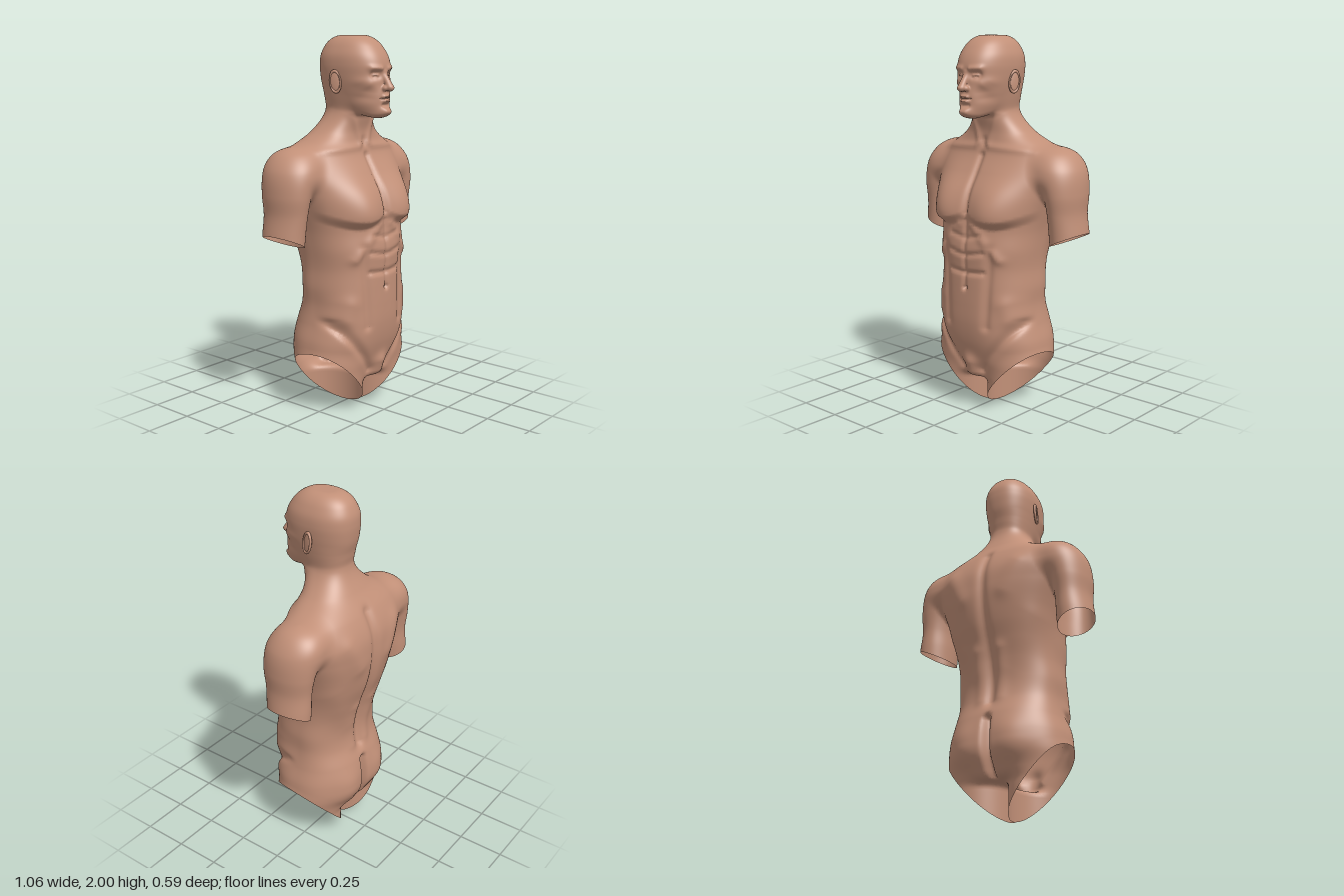
import * as THREE from 'three';

const gauss = (d2, s) => Math.exp(-d2 / (s * s));
const step = THREE.MathUtils.smoothstep;

// Smooth union and smooth intersection of two distances
function join(a, b, k) {
  const h = Math.max(k - Math.abs(a - b), 0) / k;
  return Math.min(a, b) - h * h * k / 4;
}
const trim = (a, b, k) => -join(-a, -b, k);

// Smooth interpolation between evenly spaced cross-section rows
function profile(y0, dy, rows) {
  const last = rows.length - 1;
  return y => {
    const t = Math.min(Math.max((y - y0) / dy, 0), last - 1e-6);
    const i = Math.floor(t), u = t - i;
    const a = rows[Math.max(i - 1, 0)], b = rows[i], c = rows[i + 1], d = rows[Math.min(i + 2, last)];
    return b.map((v, j) => v + 0.5 * u * (c[j] - a[j] + u * (2 * a[j] - 5 * v + 4 * c[j] - d[j]
      + u * (3 * (v - c[j]) + d[j] - a[j]))));
  };
}

// Rounded section: half width, front z, back z, centre z
function section([w, zf, zb, c], x, z, n) {
  const d = z > c ? zf - c : c - zb;
  const r = Math.pow(Math.pow(x / w, n) + Math.pow(Math.abs(z - c) / d, n), 1 / n);
  return (r - 1) * Math.min(w * 1.4, (zf - zb) / 2);
}

// Sculpting strokes: x0, y0, x1, y1, width, height
function strokes(list, x, y) {
  let sum = 0;
  for (const [x0, y0, x1, y1, s, amp] of list) {
    const dx = x1 - x0, dy = y1 - y0;
    const t = Math.min(Math.max(((x - x0) * dx + (y - y0) * dy) / (dx * dx + dy * dy + 1e-9), 0), 1);
    const d2 = (x - x0 - t * dx) ** 2 + (y - y0 - t * dy) ** 2;
    if (d2 < 9 * s * s) sum += amp * gauss(d2, s);
  }
  return sum;
}

const torsoRows = profile(0.1, 0.1, [
  [0.30, 0.18, -0.16, 0], [0.31, 0.19, -0.19, 0], [0.33, 0.22, -0.235, 0], [0.325, 0.248, -0.24, 0],
  [0.30, 0.262, -0.228, 0], [0.285, 0.264, -0.195, 0], [0.288, 0.262, -0.187, 0], [0.283, 0.26, -0.203, 0],
  [0.29, 0.264, -0.235, 0], [0.302, 0.25, -0.268, -0.03], [0.328, 0.245, -0.288, -0.06],
  [0.36, 0.22, -0.295, -0.08], [0.39, 0.168, -0.285, -0.09], [0.36, 0.118, -0.242, -0.08],
  [0.20, 0.098, -0.172, -0.04], [0.118, 0.115, -0.122, 0], [0.112, 0.11, -0.115, 0], [0.11, 0.11, -0.115, 0]]);

// Arm rows: centre x, half width, centre z, half depth
const armRows = profile(0.8, 0.1, [
  [0.45, 0.095, -0.066, 0.122], [0.446, 0.095, -0.066, 0.122], [0.437, 0.092, -0.065, 0.125],
  [0.428, 0.088, -0.06, 0.13], [0.42, 0.10, -0.06, 0.145], [0.392, 0.118, -0.065, 0.153],
  [0.372, 0.10, -0.075, 0.13], [0.36, 0.08, -0.08, 0.10]]);

const headRows = profile(1.55, 0.05, [
  [0.06, 0.235, -0.09, 0.03], [0.085, 0.25, -0.10, 0.03], [0.108, 0.25, -0.11, 0.03],
  [0.122, 0.25, -0.125, 0.03], [0.133, 0.243, -0.142, 0.03], [0.14, 0.243, -0.15, 0.03],
  [0.143, 0.24, -0.153, 0.03], [0.137, 0.222, -0.148, 0.03], [0.115, 0.187, -0.125, 0.03],
  [0.085, 0.14, -0.09, 0.03], [0.05, 0.08, -0.05, 0.02]]);

const frontStrokes = [
  [0, 1.1, 0, 1.38, 0.02, -0.014],          // breastbone
  [0, 0.72, 0, 1.05, 0.014, -0.008],        // midline
  [0, 0.775, 0.11, 0.785, 0.015, -0.009],   // abdominal creases
  [0, 0.87, 0.11, 0.89, 0.015, -0.008], [0, 0.96, 0.09, 0.98, 0.015, -0.006],
  [0.15, 0.92, 0.13, 0.5, 0.025, -0.010],   // edge of abdominals
  [0.05, 1.03, 0.2, 0.86, 0.025, 0.008],    // rib arch
  [0.28, 0.52, 0.07, 0.24, 0.025, -0.016],  // groin line
  [0.23, 0.62, 0.25, 0.55, 0.05, 0.010],    // oblique
  [0, 0.695, 0, 0.695, 0.014, -0.018],      // navel
  [0, 0.22, 0, 0.27, 0.045, 0.026],         // pubic mound
  [0.05, 1.43, 0.3, 1.42, 0.02, 0.007],     // collarbone
  [0.03, 1.45, 0.09, 1.6, 0.02, 0.008], [0, 1.45, 0, 1.46, 0.02, -0.008]];
const backStrokes = [
  [0, 0.58, 0, 1.4, 0.03, -0.022],          // spine
  [0, 0.2, 0, 0.48, 0.02, -0.045],          // cleft
  [0.13, 0.35, 0.13, 0.38, 0.09, 0.020],    // buttock
  [0.13, 1.15, 0.2, 1.3, 0.05, 0.012],      // shoulder blade
  [0.06, 0.6, 0.07, 0.85, 0.035, 0.010], [0.25, 1.0, 0.1, 0.75, 0.06, 0.007]];
const faceStrokes = [
  [0.03, 1.832, 0.08, 1.835, 0.014, 0.008], // brow
  [0.045, 1.8, 0.062, 1.8, 0.02, -0.018],   // eye socket
  [0.043, 1.799, 0.062, 1.799, 0.009, 0.011], // eyelid
  [0.05, 1.793, 0.06, 1.793, 0.004, -0.004],
  [0, 1.693, 0.018, 1.691, 0.009, 0.008], [0, 1.668, 0.015, 1.669, 0.009, 0.009], // lips
  [0, 1.681, 0.035, 1.68, 0.005, -0.007],   // mouth line
  [0, 1.646, 0.02, 1.646, 0.011, -0.007],
  [0, 1.615, 0.015, 1.615, 0.022, 0.012],   // chin
  [0.09, 1.755, 0.11, 1.765, 0.022, 0.006], // cheekbone
  [0.085, 1.69, 0.08, 1.71, 0.028, -0.008]];

function torso(x, y, z) {
  let d = section(torsoRows(y), x, z, 2.4);
  const edge = 1.04 + 0.05 * ((x - 0.16) / 0.16) ** 2;
  const chest = 0.045 * gauss((x - 0.16) ** 2, 0.13) * step(y, edge - 0.03, edge + 0.025) * gauss((y - 1.1) ** 2, 0.17);
  if (z > 0) d -= step(z, 0, 0.12) * (chest + strokes(frontStrokes, x, y));
  else d -= step(-z, 0, 0.12) * strokes(backStrokes, x, y);
  return trim(trim(d, 0.185 - y, 0.04), y - 1.74, 0.04);
}

function arm(x, y, z) {
  const [cx, rx, cz, rz] = armRows(y);
  const d = (Math.hypot((x - cx) / rx, (z - cz) / rz) - 1) * rx;
  return Math.max(trim(d, y - 1.435, 0.12), 0.84 - y);
}

function thigh(x, y, z) {
  const d = (Math.hypot((x - 0.175) / 0.163, (z - 0.015) / 0.185) - 1) * 0.163;
  return trim(d, y - 0.36, 0.1);
}

function head(x, y, z) {
  let d = section(headRows(y), x, z, 2.3);
  d -= step(z, 0.06, 0.16) * strokes(faceStrokes, x, y);
  d = trim(d, y - 2, 0.06);
  d = trim(d, 1.578 + 0.25 * Math.max(0.2 - z, 0) - y, 0.03);
  // Nose bridge and nostril wing
  const t = Math.min(Math.max((1.81 - y) / 0.072, 0), 1);
  const bridge = Math.hypot(x, y - 1.81 + 0.072 * t, z - 0.232 - 0.043 * t) - 0.012 - 0.009 * t;
  const wing = Math.hypot(x - 0.018, y - 1.733, z - 0.256) - 0.013;
  return join(d, join(bridge, wing, 0.012), 0.015);
}

// Whole figure as one blended solid, negative inside
function figure(px, y, z) {
  const x = Math.abs(px);
  let d = torso(x, y, z);
  if (y < 0.5) d = join(d, thigh(x, y, z), 0.03);
  if (x > 0.15 && y > 0.8) d = join(d, arm(x, y, z), 0.008 + 0.052 * step(y, 1.08, 1.3));
  if (y > 1.5) d = join(d, head(x, y, z), 0.03);
  return d;
}

// Slanted open ends of the thighs and arms, positive where kept
function keep(px, y, z) {
  const x = Math.abs(px);
  const leg = y - 1.07 * (x - 0.01) - 0.15 * z;
  return x > 0.325 && y > 0.8 && y < 1.15 ? Math.min(leg, -0.6937 - 0.41 * x + 0.91 * y) : leg;
}

function slope(f, [x, y, z], e) {
  return [f(x + e, y, z) - f(x - e, y, z), f(x, y + e, z) - f(x, y - e, z), f(x, y, z + e) - f(x, y, z - e)]
    .map(v => v / (2 * e));
}
function pull(f, p) { // move p to where f is zero
  const g = slope(f, p, 0.001), k = f(...p) / (g[0] ** 2 + g[1] ** 2 + g[2] ** 2 + 1e-6);
  return p.map((v, i) => v - k * g[i]);
}

// Wrap the solid in a grid of quads, then trim it at the open ends
function skin(lo, hi, h) {
  const n = lo.map((v, i) => Math.round((hi[i] - v) / h) + 1);
  const stride = [1, n[0], n[0] * n[1]];
  const val = new Float32Array(n[0] * n[1] * n[2]), cell = new Int32Array(val.length).fill(-1);
  const each = fn => {
    for (let k = 0, id = 0; k < n[2]; k++) for (let j = 0; j < n[1]; j++) for (let i = 0; i < n[0]; i++, id++) fn([i, j, k], id);
  };
  each((c, id) => { val[id] = figure(lo[0] + c[0] * h, lo[1] + c[1] * h, lo[2] + c[2] * h); });

  const pts = [], tris = [];
  each((c, id) => {
    if (c.some((v, i) => v >= n[i] - 1)) return;
    let inside = 0;
    for (let b = 0; b < 8; b++) if (val[id + (b & 1) + (b >> 1 & 1) * stride[1] + (b >> 2) * stride[2]] < 0) inside++;
    if (inside === 0 || inside === 8) return;
    const mid = c.map((v, i) => lo[i] + (v + 0.5) * h);
    let p = mid;
    for (let s = 0; s < 3; s++) p = pull(figure, p).map((v, i) => Math.min(Math.max(v, mid[i] - 0.75 * h), mid[i] + 0.75 * h));
    cell[id] = pts.push(p) - 1;
  });
  each((c, id) => {
    for (let a = 0; a < 3; a++) {
      const b = (a + 1) % 3, d = (a + 2) % 3;
      if (c[a] >= n[a] - 1 || c[b] < 1 || c[d] < 1 || c[b] >= n[b] - 1 || c[d] >= n[d] - 1) continue;
      const within = val[id] < 0;
      if (within === val[id + stride[a]] < 0) continue;
      const q = [id, id - stride[b], id - stride[b] - stride[d], id - stride[d]].map(v => cell[v]);
      if (!within) q.reverse();
      tris.push([q[0], q[1], q[2]], [q[0], q[2], q[3]]);
    }
  });
  const side = pts.map(p => keep(...p));
  const kept = tris.filter(t => t.some(v => side[v] >= 0));
  new Set(kept.flat()).forEach(v => {
    if (side[v] >= 0) return;
    for (let s = 0; s < 3; s++) pts[v] = pull(keep, pull(figure, pts[v]));
  });
  const normals = pts.map(p => new THREE.Vector3(...slope(figure, p, 0.003)).normalize().toArray());
  const geo = new THREE.BufferGeometry();
  geo.setAttribute('position', new THREE.Float32BufferAttribute(pts.flat(), 3));
  geo.setAttribute('normal', new THREE.Float32BufferAttribute(normals.flat(), 3));
  geo.setIndex(kept.flat());
  return geo;
}

export function createModel() {
  const clay = new THREE.MeshStandardMaterial({ color: 0xc29078, side: THREE.DoubleSide });
  clay.name = 'clay';
  const model = new THREE.Group();
  model.name = 'torsoSculpture';
  const add = (parent, name, geo) => {
    const mesh = new THREE.Mesh(geo, clay);
    mesh.name = name;
    parent.add(mesh);
  };
  add(model, 'body', skin([-0.6, -0.036, -0.36], [0.6, 1.536, 0.36], 0.012));
  add(model, 'headAndNeck', skin([-0.21, 1.512, -0.24], [0.21, 2.022, 0.336], 0.006));

  // Ears: a rim around a thin bowl
  for (const s of [1, -1]) {
    const ear = new THREE.Group();
    ear.name = s > 0 ? 'leftEar' : 'rightEar';
    add(ear, 'earRim', new THREE.TorusGeometry(0.048, 0.008, 10, 36).rotateY(Math.PI / 2).scale(1, 1.1, 0.6));
    add(ear, 'earBowl', new THREE.SphereGeometry(1, 24, 16).scale(0.006, 0.055, 0.028));
    ear.position.set(s * 0.147, 1.765, 0.032);
    ear.rotation.set(-0.15, -0.35 * s, 0);
    model.add(ear);
  }
  return model;
}
